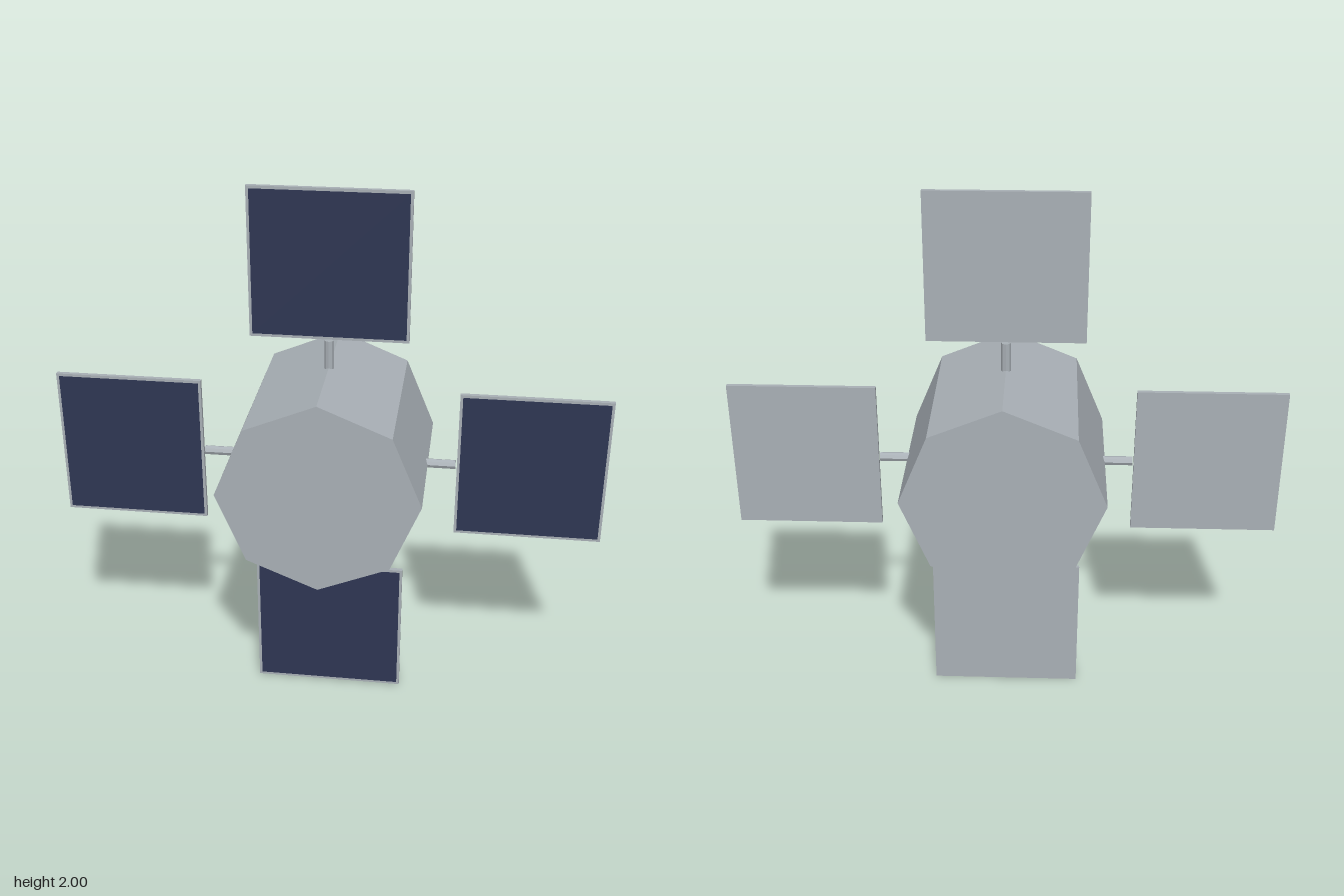
import * as THREE from 'three';

export function createModel() {
  const metal = new THREE.MeshStandardMaterial({ color: 0xa9b0b6, flatShading: true });
  metal.name = 'grey metal';
  const navy = new THREE.MeshStandardMaterial({ color: 0x2e3653, flatShading: true });
  navy.name = 'navy solar cells';

  const model = new THREE.Group();
  model.name = 'satellite';

  const add = (parent, name, geometry, material) => {
    const mesh = new THREE.Mesh(geometry, material);
    mesh.name = name;
    parent.add(mesh);
    return mesh;
  };

  // Octagonal body along z, with corners on the x and y axes
  const bodyGeometry = new THREE.CylinderGeometry(0.36, 0.36, 0.666, 8).rotateX(Math.PI / 2);
  add(model, 'body', bodyGeometry, metal).position.y = 1;

  // Strut, panel frame and front solar cells, shared by the four arms
  const inner = 0.465, outer = 1, width = 0.56, depth = 0.016, border = 0.01;
  const length = outer - inner, middle = (outer + inner) / 2;
  const strutGeometry = new THREE.CylinderGeometry(0.017, 0.017, 0.12, 8).translate(0, 0.4, 0);
  const panelGeometry = new THREE.BoxGeometry(width, length, depth).translate(0, middle, 0);
  const cellsGeometry = new THREE.BoxGeometry(width - 2 * border, length - 2 * border, 0.002)
    .translate(0, middle, depth / 2);

  ['top', 'left', 'bottom', 'right'].forEach((side, i) => {
    const arm = new THREE.Group();
    arm.name = side + 'Arm';
    add(arm, side + 'Strut', strutGeometry, metal);
    add(arm, side + 'Panel', panelGeometry, metal);
    add(arm, side + 'SolarCells', cellsGeometry, navy);
    arm.position.y = 1;
    arm.rotation.z = -i * Math.PI / 2;
    model.add(arm);
  });

  return model;
}
